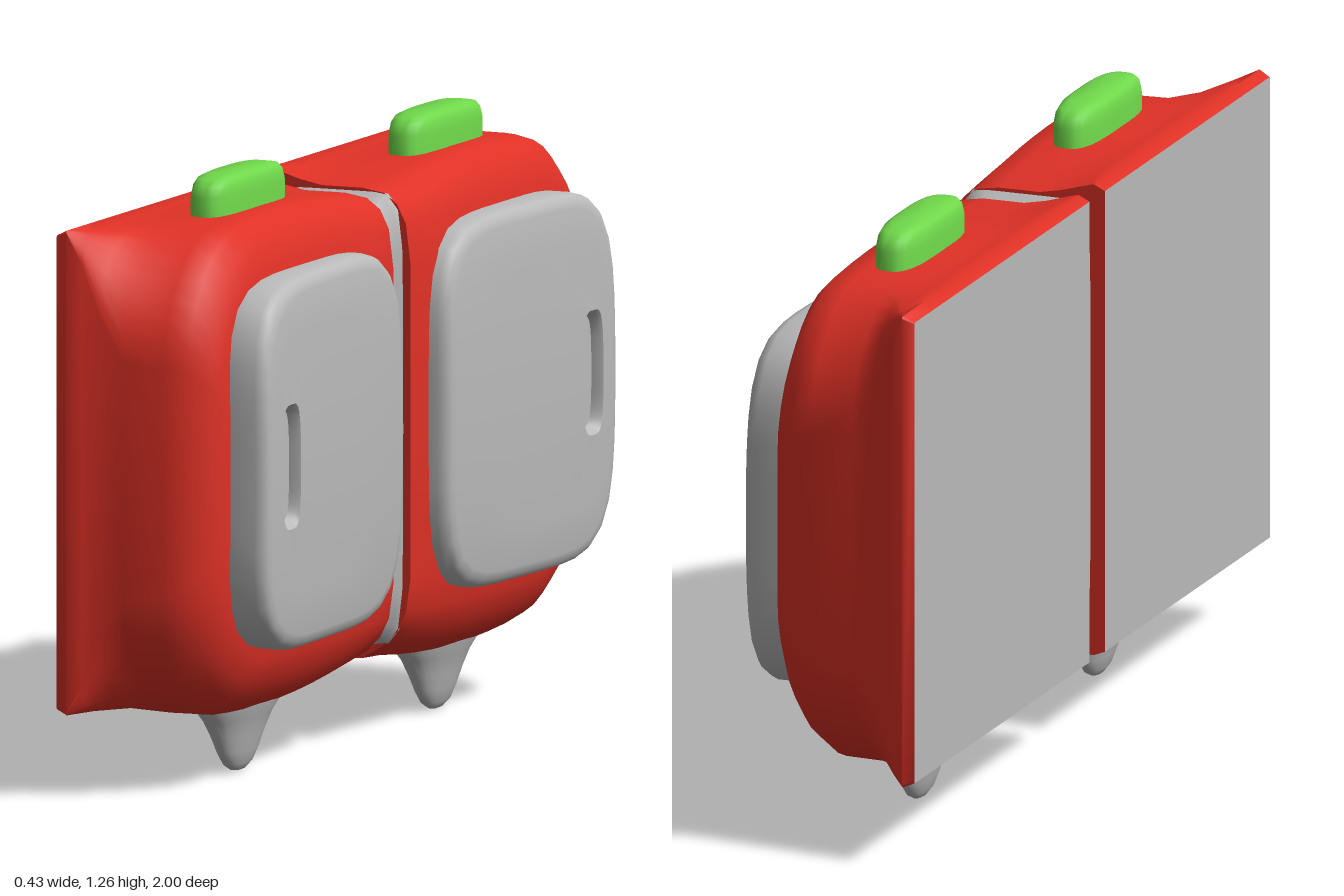
import * as THREE from 'three';
import { toCreasedNormals } from 'three/addons/utils/BufferGeometryUtils.js';

const mat = (name, color) => new THREE.MeshStandardMaterial({ name, color });

// Skin a list of equal-length closed rings of [x, y, z]; optional end caps.
function loft(rings, { flip = false, startCap = false, endCap = false, crease = 0.7 } = {}) {
  const n = rings[0].length, pos = rings.flat(2), idx = [];
  const tri = (a, b, c) => (flip ? idx.push(a, c, b) : idx.push(a, b, c));
  for (let k = 0; k < rings.length - 1; k++) {
    for (let i = 0; i < n; i++) {
      const j = (i + 1) % n, a = k * n + i, b = k * n + j;
      tri(a, b, b + n);
      tri(a, b + n, a + n);
    }
  }
  const cap = (k, reverse) => {
    const c = pos.length / 3;
    for (let d = 0; d < 3; d++) pos.push(rings[k].reduce((s, p) => s + p[d], 0) / n);
    for (let i = 0; i < n; i++) {
      const a = k * n + i, b = k * n + (i + 1) % n;
      reverse ? tri(b, a, c) : tri(a, b, c);
    }
  };
  if (startCap) cap(0, true);
  if (endCap) cap(rings.length - 1, false);
  const g = new THREE.BufferGeometry();
  g.setAttribute('position', new THREE.Float32BufferAttribute(pos, 3));
  g.setIndex(idx);
  return toCreasedNormals(g, crease);
}

// Rounded-square outline as [u, v] pairs, counter-clockwise.
function squircle(cu, cv, a, b, power, count = 48) {
  return Array.from({ length: count }, (_, i) => {
    const t = (i / count) * Math.PI * 2, c = Math.cos(t), s = Math.sin(t);
    const r = (Math.abs(c) ** power + Math.abs(s) ** power) ** (-1 / power);
    return [cu + a * r * c, cv + b * r * s];
  });
}

// Body section: straight inner edge, rounded outer corners, swollen top and bottom.
function bodyRing([x, y0, y1, zo, r, bulge], zi, side) {
  const pts = [], steps = 8;
  for (let i = 0; i < steps; i++) pts.push([y1, zi + ((zo - r - zi) * i) / steps]);
  for (const [cy, start] of [[y1 - r, 0], [y0 + r, Math.PI / 2]]) {
    for (let i = 0; i <= steps; i++) {
      const t = start + (i / steps) * Math.PI / 2;
      pts.push([cy + r * Math.cos(t), zo - r + r * Math.sin(t)]);
    }
  }
  for (let i = steps - 1; i >= 0; i--) pts.push([y0, zi + ((zo - r - zi) * i) / steps]);
  const mid = (y0 + y1) / 2, half = (y1 - y0) / 2;
  return pts.map(([y, z]) => {
    const swell = Math.max(0, 1 - ((z - 0.495) / 0.43) ** 2);
    return [x, y + bulge * swell * (y - mid) / half, z * side];
  });
}

// x, bottom, top, outer z, corner radius, swell
const BODY = [
  [-0.215, 0.18, 1.168, 0.993, 0.005, 0],
  [-0.19, 0.17, 1.18, 1, 0.005, 0],
  [-0.16, 0.172, 1.172, 0.99, 0.06, 0.004],
  [-0.12, 0.174, 1.16, 0.985, 0.16, 0.016],
  [-0.07, 0.17, 1.15, 0.982, 0.24, 0.03],
  [0.02, 0.17, 1.15, 0.982, 0.25, 0.03],
  [0.07, 0.2, 1.142, 0.965, 0.25, 0.03],
  [0.1, 0.23, 1.12, 0.94, 0.25, 0.02],
  [0.12, 0.27, 1.08, 0.915, 0.25, 0.01],
  [0.13, 0.34, 1.0, 0.88, 0.25, 0],
];

// Tilted, slightly domed door with a sunken oblong grip.
function doorGeometry(side) {
  const front = (y, z) =>
    0.178 + 0.034 * Math.min(1, (z - 0.1) / 0.65) - 0.012 * ((y - 0.675) / 0.39) ** 2;
  const outline = (s) => squircle(0.675, 0.495, 0.39 * s, 0.388 * s, 4.7);
  const grip = (s) => squircle(0.68, 0.755, 0.13 * s, 0.046 * s, 4);
  const ring = (pts, drop) => pts.map(([y, z]) => [front(y, z) - drop, y, z * side]);
  const rim = outline(0.92), hole = grip(1);
  const blend = (e) => rim.map(([y, z], i) => [y + (hole[i][0] - y) * e, z + (hole[i][1] - z) * e]);
  return loft([
    outline(1).map(([y, z]) => [0.11, y, z * side]),
    ring(outline(1), 0.028),
    ring(outline(0.985), 0.012),
    ring(outline(0.96), 0.003),
    ring(rim, 0),
    ring(blend(0.35), 0),
    ring(blend(0.7), 0),
    ring(hole, 0),
    ring(grip(0.93), 0.008),
    ring(grip(0.88), 0.025),
  ], { flip: side < 0, endCap: true });
}

export function createModel() {
  const red = mat('red', 0xe03126);
  const grey = mat('grey', 0xbababa);
  const green = mat('green', 0x70d94b);
  const model = new THREE.Group();
  const add = (parent, name, geometry, material) => {
    const mesh = new THREE.Mesh(geometry, material);
    mesh.name = name;
    parent.add(mesh);
    return mesh;
  };

  // Two cabinets, mirrored about the seam
  for (const [side, zi, label] of [[1, 0.07, 'front'], [-1, 0.015, 'rear']]) {
    const cabinet = new THREE.Group();
    cabinet.name = label + 'Cabinet';
    model.add(cabinet);
    const flip = side < 0;

    const rings = BODY.map((row) => bodyRing(row, zi, side));
    add(cabinet, 'body', loft(rings, { flip, endCap: true }), red);
    add(cabinet, 'backPanel', loft([rings[0]], { flip, startCap: true }), grey);
    add(cabinet, 'door', doorGeometry(side), grey);

    // Top button
    const levels = [[1.14, 1], [1.215, 1], [1.237, 0.95], [1.25, 0.85], [1.256, 0.65]];
    const button = levels.map(([y, s]) =>
      squircle(0.495 * side, -0.03, 0.18 * s, 0.052 * s, 3, 32).map(([z, x]) => [x, y, z]));
    add(cabinet, 'button', loft(button, { endCap: true, crease: 1 }), green);

    // Bell-shaped foot, flattened across x
    const profile = [[0, 0], [0.03, 0.004], [0.06, 0.018], [0.085, 0.045], [0.11, 0.08],
      [0.14, 0.115], [0.175, 0.142], [0.19, 0.17]];
    const foot = add(cabinet, 'foot',
      new THREE.LatheGeometry(profile.map(([r, y]) => new THREE.Vector2(r, y)), 32), grey);
    foot.scale.x = 0.33;
    foot.position.set(-0.03, 0, 0.495 * side);
  }

  // Grooved seam between the cabinets
  const seam = [[-0.018, 0], [-0.005, 0.008], [0.015, 0.024], [0.028, 0.028], [0.04, 0.024],
    [0.06, 0.008], [0.073, 0]].map(([z, inset]) =>
    squircle(-0.035, 0.672, 0.15 - inset, 0.473 - inset, 9).map(([x, y]) => [x, y, z]));
  add(model, 'seam', loft(seam), grey);

  return model;
}
